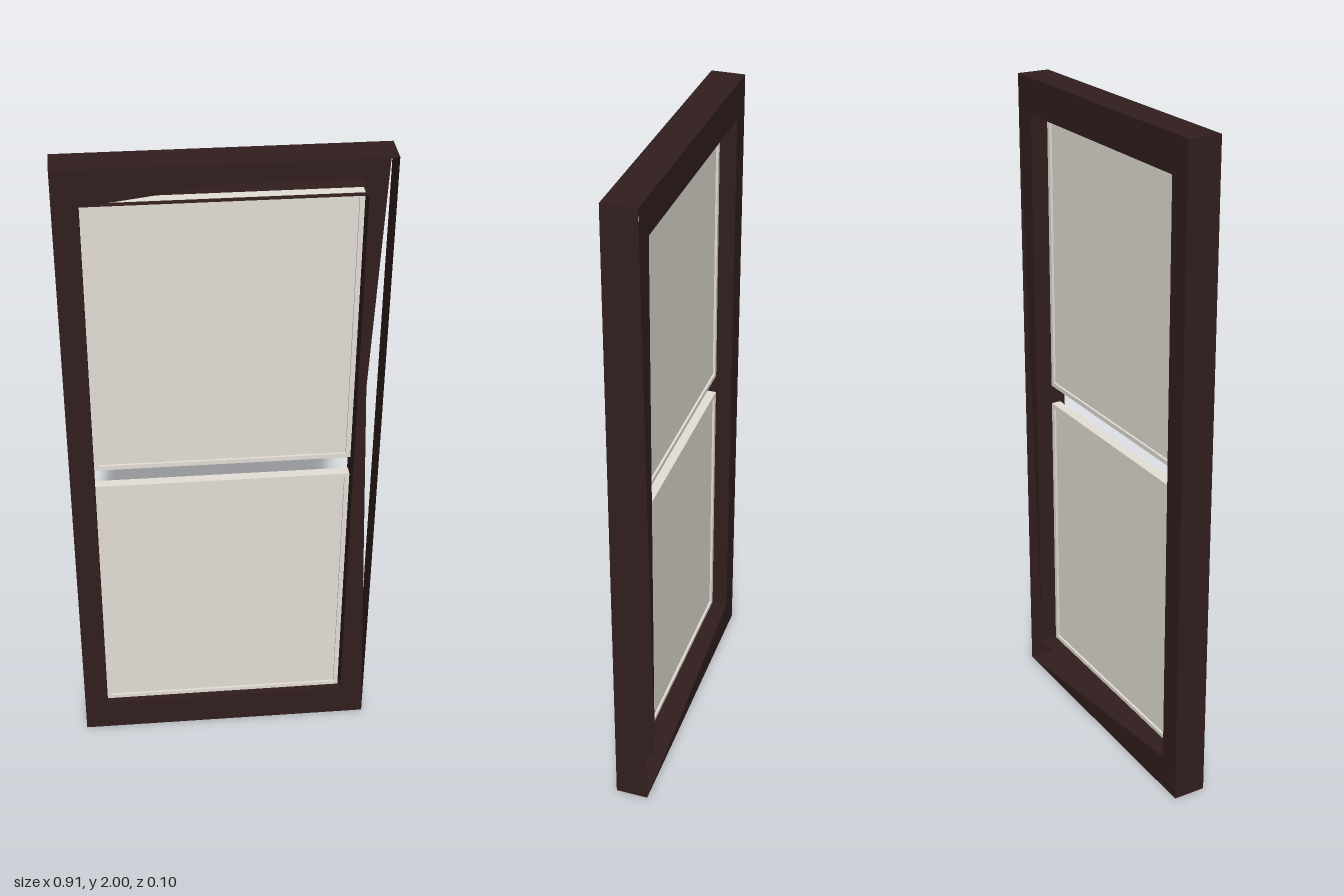
import * as THREE from 'three';

// Each polygon is a fan of corners, counter-clockwise seen from its front
function facesGeometry(polygons) {
  const points = [];
  for (const p of polygons) {
    for (let i = 1; i < p.length - 1; i++) points.push(...p[0], ...p[i], ...p[i + 1]);
  }
  const g = new THREE.BufferGeometry();
  g.setAttribute('position', new THREE.Float32BufferAttribute(points, 3));
  g.computeVertexNormals();
  return g;
}

// Half of the frame: one face plus half of the walls; the other half is it turned about x
function frameHalf() {
  const z = 0.05;
  const ring = (l, r, h, d) => [[l, -h, d], [r, -h, d], [r, h, d], [l, h, d]];
  const O = ring(-0.457, 0.455, 1, z), Ob = ring(-0.457, 0.455, 1, -z);
  const I = ring(-0.385, 0.38, 0.893, z), Ib = ring(-0.385, 0.38, 0.893, -z);
  return facesGeometry([
    [O[0], O[1], I[1], I[0]],         // bottom rail
    [O[3], O[0], I[0], I[3]],         // side rail
    [O[2], O[3], I[3]],               // top rail, open at one corner
    [O[1], I[2], I[1]],               // side rail, open at the same corner
    [O[1], Ob[1], Ob[2]],             // outer walls
    [O[0], Ob[3], Ob[0]],
    [O[0], Ob[0], Ob[1], O[1]],
    [I[0], Ib[0], Ib[3]],             // inner walls
    [I[0], I[1], Ib[1], Ib[0]],
    [I[1], Ib[2], Ib[1]],
  ]);
}

function rectangle(path, l, r, b, t) {
  path.moveTo(l, b);
  path.lineTo(r, b);
  path.lineTo(r, t);
  path.lineTo(l, t);
  path.closePath();
  return path;
}

export function createModel() {
  const darkWood = new THREE.MeshStandardMaterial({ color: 0x321e1e, side: THREE.DoubleSide });
  darkWood.name = 'darkWood';
  const paleGlass = new THREE.MeshStandardMaterial({ color: 0xe4dfd6 });
  paleGlass.name = 'paleGlass';

  const model = new THREE.Group();
  model.name = 'window';

  // Frame
  const frame = new THREE.Group();
  frame.name = 'frame';
  frame.position.y = 1;
  const half = frameHalf();
  ['frameFront', 'frameBack'].forEach((name, i) => {
    const mesh = new THREE.Mesh(half, darkWood);
    mesh.name = name;
    mesh.rotation.x = i * Math.PI;
    frame.add(mesh);
  });
  model.add(frame);

  // Two panes with a thin raised rim, set towards the front of the frame
  const l = -0.384, r = 0.373, rim = 0.014, depth = 0.03;
  for (const [name, b, t] of [['lowerPane', 0.106, 0.97], ['upperPane', 1.03, 1.894]]) {
    const pane = new THREE.Group();
    pane.name = name;
    pane.position.z = depth / 2;
    const shape = rectangle(new THREE.Shape(), l, r, b, t);
    shape.holes.push(rectangle(new THREE.Path(), l + rim, r - rim, b + rim, t - rim));
    const rimGeo = new THREE.ExtrudeGeometry(shape, { depth, bevelEnabled: false });
    rimGeo.translate(0, 0, -depth / 2);
    const rimMesh = new THREE.Mesh(rimGeo, paleGlass);
    rimMesh.name = name + 'Rim';
    const glass = new THREE.Mesh(
      new THREE.BoxGeometry(r - l - rim, t - b - rim, 0.016), paleGlass);
    glass.name = name + 'Glass';
    glass.position.set((l + r) / 2, (b + t) / 2, 0);
    pane.add(rimMesh, glass);
    model.add(pane);
  }
  return model;
}
